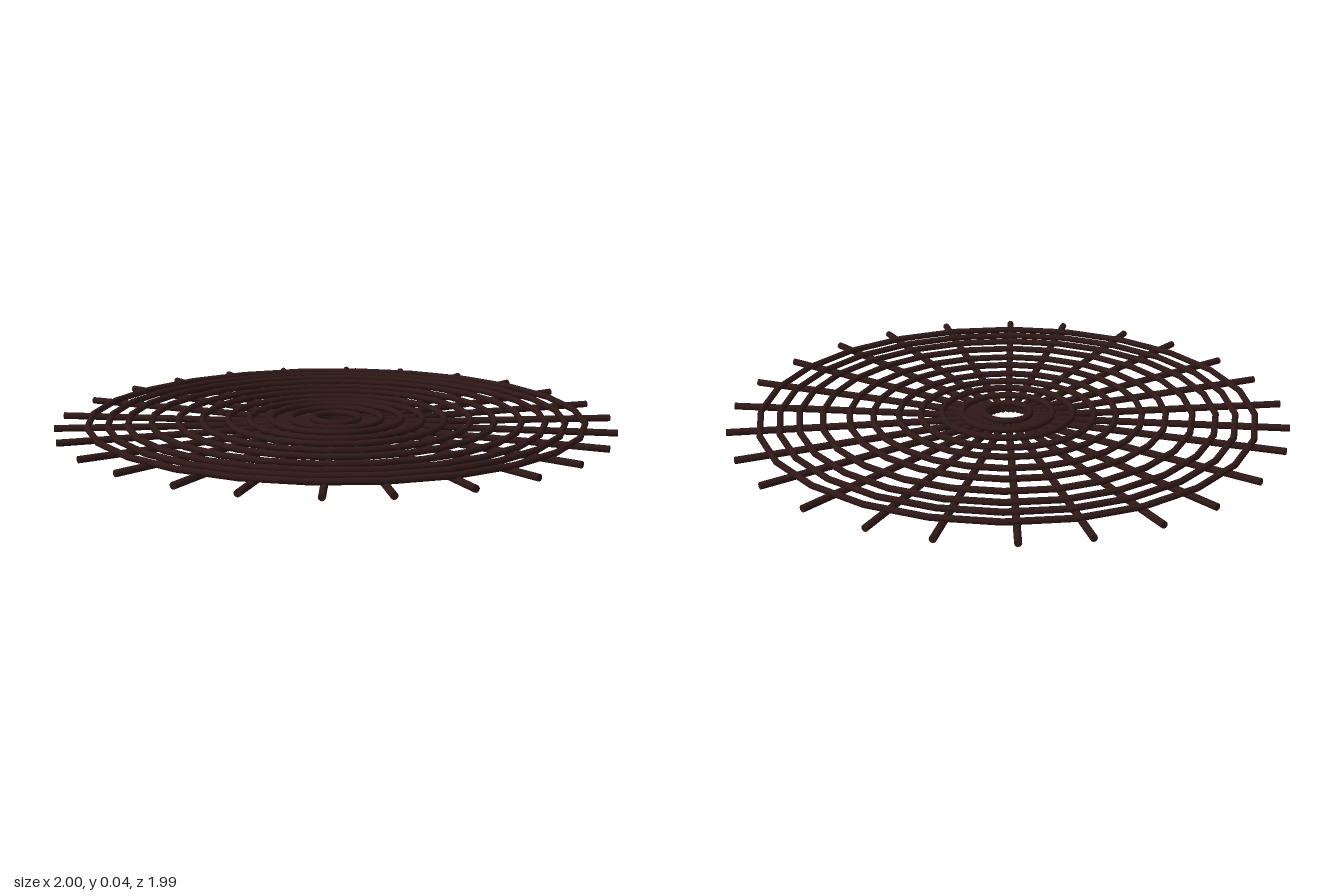
import * as THREE from 'three';

// Round lattice: radial bars on the ground with polygonal hoops laid on top.
export function createModel() {
  const group = new THREE.Group();
  const wood = new THREE.MeshStandardMaterial({ color: 0x2e1816 });

  const BAR = 0.0125;   // bar radius
  const INNER = 0.072;  // radius of the central opening

  // Radial bars, slightly unevenly spaced (degrees, counter-clockwise from above)
  const angles = [0, 13.1, 27.1, 41.2, 55.1, 69.2, 83.5, 96.8, 110.2, 124.6, 137.6, 152.7, 166.2,
    180, 192.7, 207.2, 223, 235, 248, 262.6, 275.8, 290, 302.8, 317.8, 330.4, 345.7];
  const spokes = new THREE.Group();
  spokes.name = 'spokes';
  const barGeo = new THREE.CylinderGeometry(BAR, BAR, 1 - INNER, 12);
  barGeo.rotateZ(-Math.PI / 2);
  barGeo.translate((1 + INNER) / 2, BAR, 0);
  angles.forEach((deg, i) => {
    const bar = new THREE.Mesh(barGeo, wood);
    bar.name = `spoke${i + 1}`;
    bar.rotation.y = THREE.MathUtils.degToRad(deg);
    spokes.add(bar);
  });
  group.add(spokes);

  // Concentric 24-sided hoops; the innermost ones sit a little higher
  const hoops = new THREE.Group();
  hoops.name = 'hoops';
  const radii = [0.083, 0.163, 0.235, 0.312, 0.39, 0.482, 0.567, 0.662, 0.745, 0.815, 0.885];
  radii.forEach((r, i) => {
    const geo = new THREE.TorusGeometry(r, 0.0115, 10, 24);
    geo.rotateX(-Math.PI / 2);
    const hoop = new THREE.Mesh(geo, wood);
    hoop.name = `hoop${i + 1}`;
    hoop.position.set(0, r < 0.24 ? 0.032 : 0.029, -0.003);
    hoops.add(hoop);
  });
  group.add(hoops);

  return group;
}
